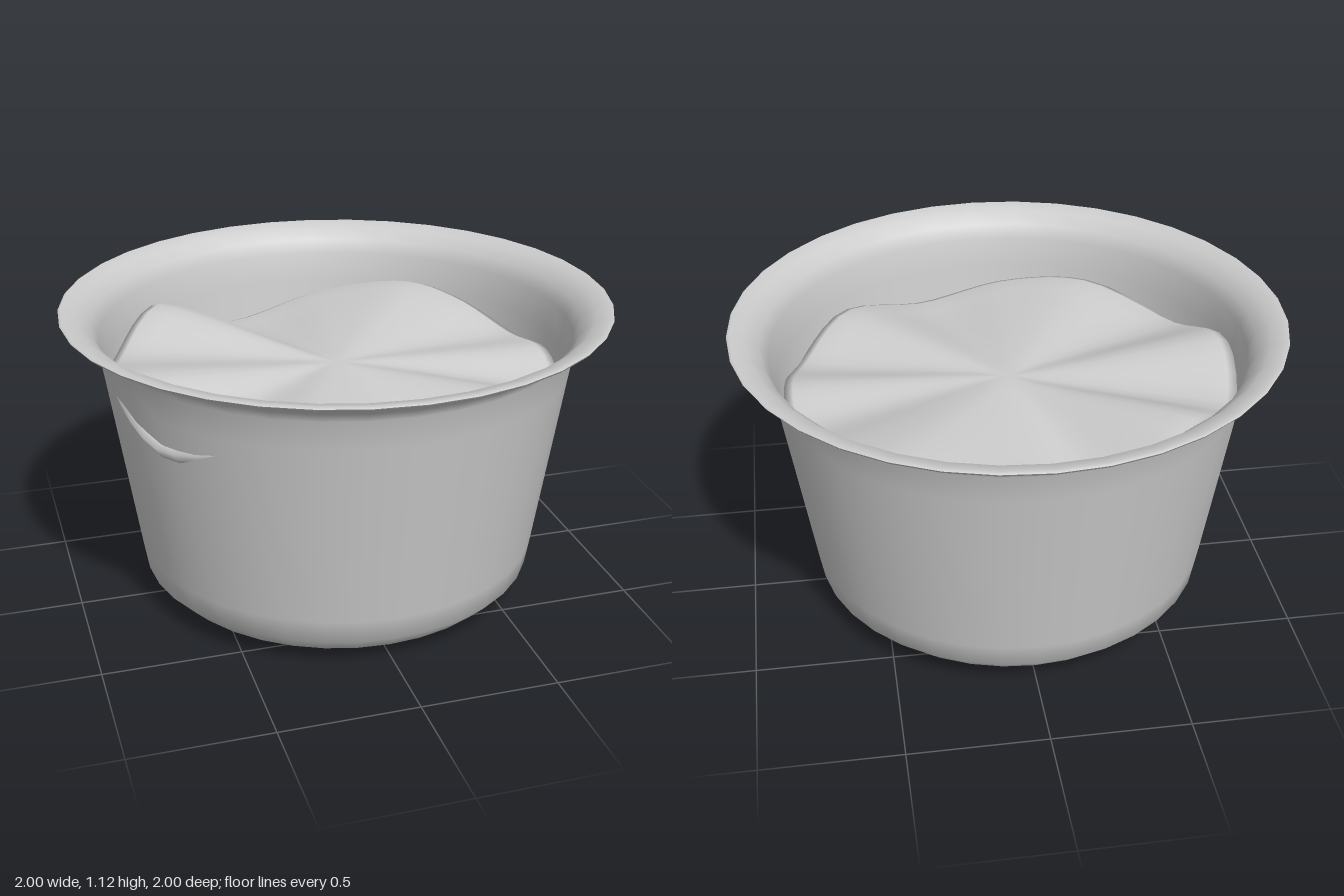
import * as THREE from 'three';

const SEGMENTS = 36;

// Lumpy contents: rings of a closed rim curve, blended towards a flatter middle.
function fillGeometry() {
  // angle in degrees from +x towards +z, radius, height
  const edge = [
    [5, 0.82, 0.86], [23, 0.83, 0.8], [45, 0.82, 0.88], [73, 0.82, 0.79],
    [97, 0.82, 0.85], [121, 0.83, 0.88], [150, 0.865, 0.81], [174, 0.85, 0.92],
    [203, 0.835, 0.86], [225, 0.815, 0.96], [253, 0.82, 0.78], [282, 0.82, 0.87],
    [308, 0.815, 0.93], [325, 0.81, 0.9], [346, 0.82, 0.83],
  ].map(([deg, r, y]) => {
    const a = THREE.MathUtils.degToRad(deg);
    return new THREE.Vector3(r * Math.cos(a), y, r * Math.sin(a));
  });
  const count = 72;
  const rim = new THREE.CatmullRomCurve3(edge, true).getPoints(count).slice(0, count);
  const middle = 0.865;

  // ring scale, and how far the ring sinks below the rim
  const rings = [[0.15, 0], [0.35, 0], [0.55, 0], [0.72, 0], [0.86, 0], [0.96, 0], [1, 0.012], [0.97, 0.05], [0.88, 0.12]];
  const positions = [0, middle, 0];
  for (const [s, sink] of rings) {
    const blend = THREE.MathUtils.smoothstep(s, 0, 1);
    for (const p of rim) {
      positions.push(p.x * s, THREE.MathUtils.lerp(middle, p.y, blend) - sink, p.z * s);
    }
  }
  const index = [];
  for (let j = 0; j < count; j++) {
    const k = (j + 1) % count;
    index.push(0, 1 + k, 1 + j);
    for (let i = 0; i < rings.length - 1; i++) {
      const a = 1 + i * count;
      const b = a + count;
      index.push(a + j, a + k, b + j, a + k, b + k, b + j);
    }
  }
  const geometry = new THREE.BufferGeometry();
  geometry.setAttribute('position', new THREE.Float32BufferAttribute(positions, 3));
  geometry.setIndex(index);
  geometry.computeVertexNormals();
  return geometry;
}

export function createModel() {
  const model = new THREE.Group();
  model.name = 'filledPot';
  const grey = new THREE.MeshStandardMaterial({ color: 0xcccccc });
  grey.name = 'light grey';

  const add = (name, geometry) => {
    const mesh = new THREE.Mesh(geometry, grey);
    mesh.name = name;
    model.add(mesh);
    return mesh;
  };
  const lathe = (name, points) =>
    add(name, new THREE.LatheGeometry(points.map(([x, y]) => new THREE.Vector2(x, y)), SEGMENTS));

  // Outer wall, from the bevelled foot to the flared lip
  lathe('outerWall', [
    [0.575, 0], [0.67, 0.045], [0.735, 0.11], [0.75, 0.2], [0.855, 0.9],
    [0.873, 1.01], [0.895, 1.045], [0.93, 1.08], [0.995, 1.1], [1, 1.108],
  ]);

  // Inside of the lip and the wall down to the floor
  lathe('innerWall', [
    [1, 1.108], [0.99, 1.115], [0.935, 1.1], [0.89, 1.06], [0.863, 1.01],
    [0.845, 0.9], [0.74, 0.2], [0.72, 0.11], [0.6, 0.03], [0, 0.03],
  ]);

  // Flat underside
  const base = add('base', new THREE.CircleGeometry(0.575, SEGMENTS));
  base.rotation.x = Math.PI / 2;

  add('contents', fillGeometry());
  return model;
}
